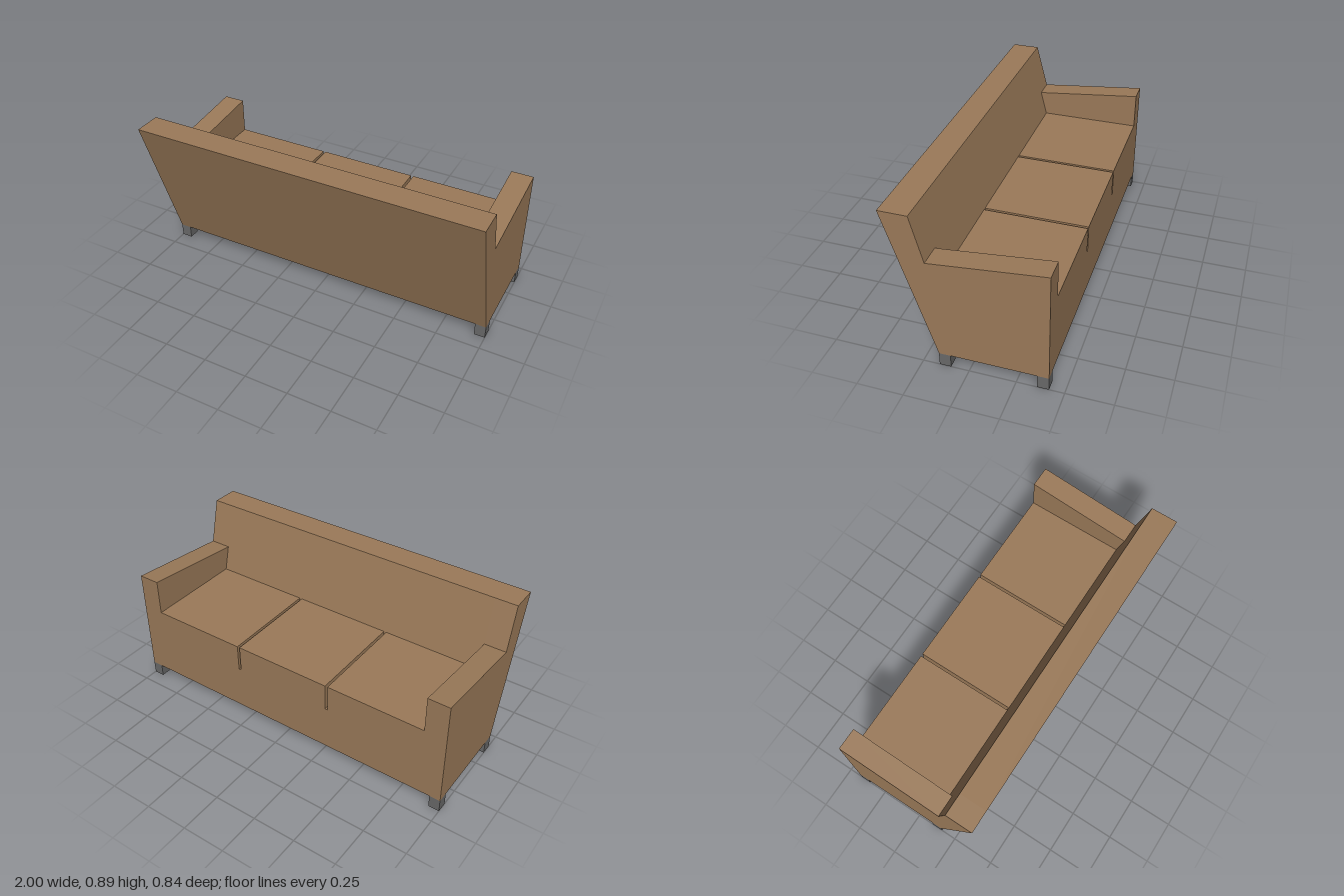
import * as THREE from 'three';

// Extrudes a [z, y] side profile across x, centred on x = 0
function slab(profile, width) {
  const shape = new THREE.Shape(profile.map(([z, y]) => new THREE.Vector2(z, y)));
  const geo = new THREE.ExtrudeGeometry(shape, { depth: width, bevelEnabled: false });
  return geo.translate(0, 0, -width / 2).rotateY(-Math.PI / 2);
}

export function createModel() {
  const sofa = new THREE.Group();
  sofa.name = 'sofa';
  const fabric = new THREE.MeshStandardMaterial({ color: 0x9b7a59 });
  fabric.name = 'brown fabric';
  const legGrey = new THREE.MeshStandardMaterial({ color: 0x696969 });
  legGrey.name = 'grey leg';

  const add = (name, geo, mat, x = 0, y = 0, z = 0) => {
    const mesh = new THREE.Mesh(geo, mat);
    mesh.name = name;
    mesh.position.set(x, y, z);
    sofa.add(mesh);
  };

  const front = -0.42, bottom = 0.075, top = 0.895, deck = 0.34, seat = 0.497;
  const armWidth = 0.125, gap = 0.015;
  // z of the sloping backrest face at height y
  const backrestZ = (y) => 0.199 + (y - 0.64) * 0.255;

  // Seat base and leaning backrest in one section
  add('frame', slab([
    [0.16, bottom], [0.42, top], [0.264, top],
    [backrestZ(deck), deck], [front, deck], [front, bottom],
  ], 2 - 2 * armWidth), fabric);

  // Arms, rising slightly toward the seat edge
  const armGeo = slab([
    [0.16, bottom], [0.42, top], [0.264, top],
    [0.199, 0.64], [front, 0.705], [front, bottom],
  ], armWidth);
  for (const s of [-1, 1]) {
    add(s > 0 ? 'leftArm' : 'rightArm', armGeo, fabric, s * (1 - armWidth / 2));
  }

  // Three seat cushions with narrow grooves between them
  const cushionWidth = (2 - 2 * armWidth - 2 * gap) / 3;
  const cushionGeo = slab([
    [backrestZ(deck), deck], [backrestZ(seat), seat], [front, seat], [front, deck],
  ], cushionWidth);
  for (const i of [-1, 0, 1]) {
    add('seatCushion', cushionGeo, fabric, i * (cushionWidth + gap));
  }

  // Four block legs
  const legSize = 0.062;
  const legGeo = new THREE.BoxGeometry(legSize, bottom, legSize);
  for (const s of [-1, 1]) {
    for (const z of [front + legSize / 2, 0.16 - legSize / 2]) {
      add('leg', legGeo, legGrey, s * (1 - legSize / 2), bottom / 2, z);
    }
  }
  return sofa;
}
